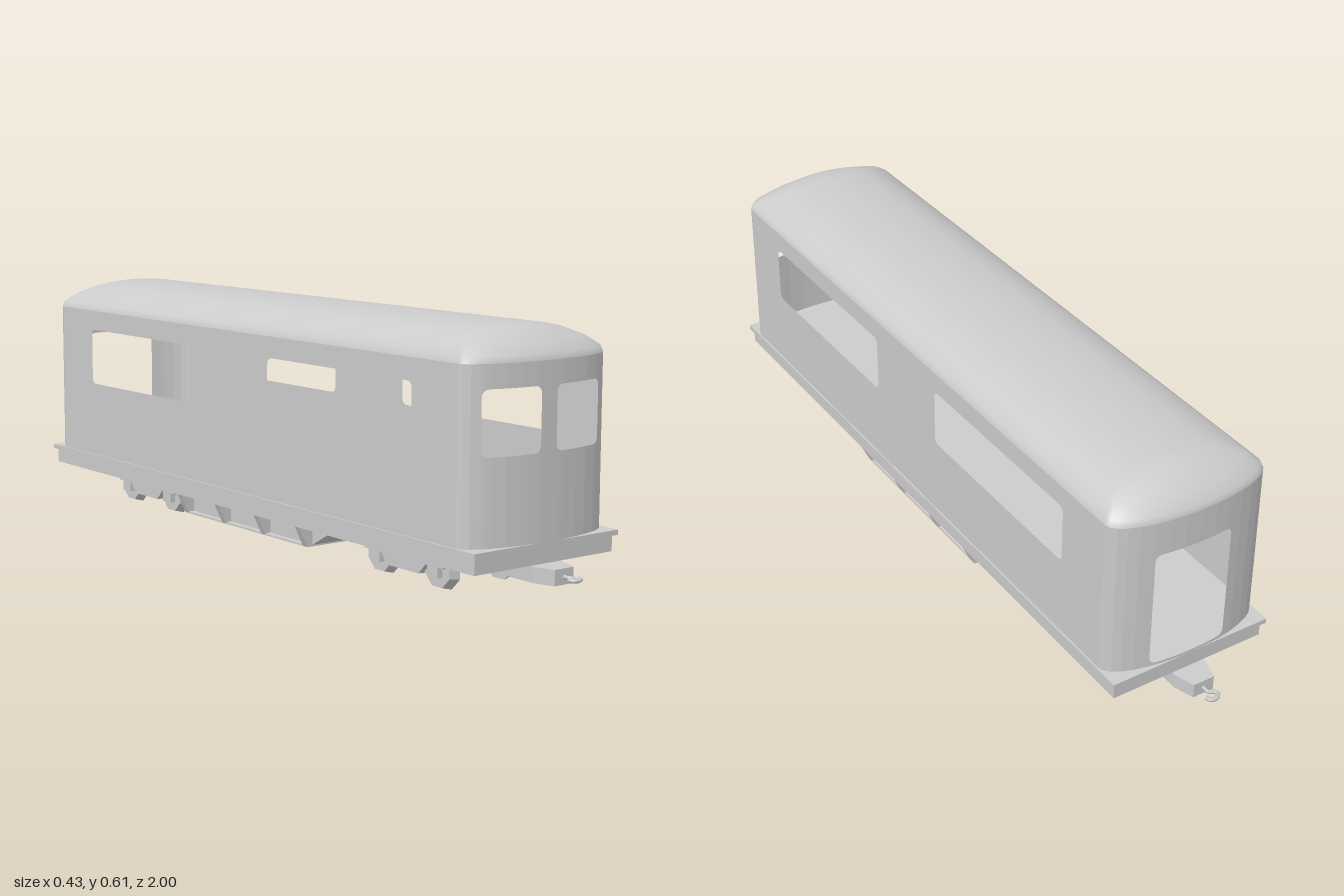
import * as THREE from 'three';

const mat = new THREE.MeshStandardMaterial({ color: 0xcccccc });
const flat = new THREE.MeshStandardMaterial({ color: 0xcccccc, flatShading: true });
const thin = new THREE.MeshStandardMaterial({ color: 0xcccccc, side: THREE.DoubleSide });

const HW = 0.21, STRAIGHT = 0.835, BULGE = 0.065; // body half width, straight half length, end bulge
const FLOOR = 0.143, EAVES = 0.54;

function add(parent, name, geo, material = flat) {
  const m = new THREE.Mesh(geo, material);
  m.name = name;
  parent.add(m);
  return m;
}

function box(parent, name, x0, x1, y0, y1, z0, z1) {
  const m = add(parent, name, new THREE.BoxGeometry(x1 - x0, y1 - y0, z1 - z0));
  m.position.set((x0 + x1) / 2, (y0 + y1) / 2, (z0 + z1) / 2);
  return m;
}

// Prism from a (z, y) outline, spanning x0..x1
function prismX(parent, name, pts, x0, x1) {
  const shape = new THREE.Shape(pts.map(([z, y]) => new THREE.Vector2(-z, y)));
  const g = new THREE.ExtrudeGeometry(shape, { depth: x1 - x0, bevelEnabled: false });
  g.rotateY(Math.PI / 2).translate(x0, 0, 0);
  return add(parent, name, g);
}

const endZ = x => STRAIGHT + BULGE * Math.sqrt(Math.max(0, 1 - (x / HW) ** 2));

// Wall made of upright strips along a path, leaving round-cornered openings [from, to, low, high]
function wall(parent, name, stations, at, openings) {
  const r = 0.016, steps = [0, 0.08, 0.3, 0.6, 1];
  const us = [...stations];
  for (const [a, b] of openings) for (const s of steps) us.push(a + s * r, b - s * r);
  us.sort((a, b) => a - b);
  const pos = [];
  const quad = (u, v, a0, a1, b0, b1) => {
    const [ux, uz] = at(u), [vx, vz] = at(v);
    pos.push(ux, a0, uz, vx, b0, vz, vx, b1, vz, ux, a0, uz, vx, b1, vz, ux, a1, uz);
  };
  const cut = (o, u) => {
    const t = Math.min(1, Math.max(0, Math.min(u - o[0], o[1] - u) / r));
    return r * (1 - Math.sqrt(1 - (1 - t) ** 2));
  };
  for (let i = 0; i + 1 < us.length; i++) {
    const u = us[i], v = us[i + 1], mid = (u + v) / 2;
    if (v - u < 1e-6) continue;
    const o = openings.find(p => mid > p[0] && mid < p[1]);
    if (!o) { quad(u, v, FLOOR, EAVES, FLOOR, EAVES); continue; }
    const cu = cut(o, u), cv = cut(o, v);
    quad(u, v, FLOOR, o[2] + cu, FLOOR, o[2] + cv);
    quad(u, v, o[3] - cu, EAVES, o[3] - cv, EAVES);
  }
  const g = new THREE.BufferGeometry();
  g.setAttribute('position', new THREE.Float32BufferAttribute(pos, 3));
  g.computeVertexNormals();
  add(parent, name, g, thin);
}

// Domed roof: rings following the body outline, drawn in and raised step by step
function roofGeometry(arc) {
  const rings = [[0, 0, EAVES], [0.005, 0.004, 0.555], [0.03, 0.03, 0.577], [0.075, 0.06, 0.597],
    [0.11, 0.078, 0.605], [0.145, 0.1, 0.61], [0.175, 0.115, 0.612], [HW, 0.13, 0.613]];
  const outline = [...arc.map(x => [x, 1]), ...[...arc].reverse().map(x => [x, -1])];
  const n = outline.length, pos = [], idx = [];
  rings.forEach(([dx, dz, y], k) => {
    outline.forEach(([x, s], i) => {
      pos.push(x * (1 - dx / HW), y, s * (endZ(x) - dz));
      if (k === 0) return;
      const j = (i + 1) % n, a = (k - 1) * n, b = k * n;
      idx.push(a + i, a + j, b + j, a + i, b + j, b + i);
    });
  });
  const g = new THREE.BufferGeometry();
  g.setAttribute('position', new THREE.Float32BufferAttribute(pos, 3));
  g.setIndex(idx);
  g.computeVertexNormals();
  return g;
}

function makeBody() {
  const body = new THREE.Group();
  body.name = 'body';
  const arc = [];
  for (let i = 0; i <= 16; i++) arc.push(HW * Math.sin((i / 16 - 0.5) * Math.PI));
  wall(body, 'frontWall', arc, x => [x, endZ(x)],
    [[-0.174, -0.027, 0.34, 0.486], [0.019, 0.166, 0.34, 0.486]]);
  // the rear path runs the other way, so x is negated
  wall(body, 'rearWall', arc, u => [-u, -endZ(u)], [[-0.112, 0.09, 0.15, 0.453]]);
  for (const s of [1, -1]) {
    wall(body, 'sideWall', [-STRAIGHT, STRAIGHT], u => [s * HW, -s * u],
      s > 0 ? [[-0.685, -0.145, 0.34, 0.488], [0.133, 0.68, 0.34, 0.488]]
        : [[-0.68, -0.133, 0.34, 0.488], [0.145, 0.685, 0.34, 0.488]]);
  }
  add(body, 'roof', roofGeometry(arc), thin);
  return body;
}

// Four-wheel truck, centred on z = 0
function makeBogie() {
  const bogie = new THREE.Group();
  bogie.name = 'bogie';
  box(bogie, 'bolster', -0.105, 0.105, 0.031, 0.093, -0.05, 0.05);
  for (const s of [1, -1]) {
    const x0 = s > 0 ? 0.105 : -0.121;
    prismX(bogie, 'sideFrame', [[-0.15, 0.08], [-0.14, 0.06], [-0.08, 0.06], [-0.055, 0.034],
      [0.055, 0.034], [0.08, 0.06], [0.14, 0.06], [0.15, 0.08]], x0, x0 + 0.016);
    for (const z of [-0.103, 0.103]) {
      const g = new THREE.CylinderGeometry(0.045, 0.052, 0.026, 8);
      g.rotateY(Math.PI / 8).rotateZ(-s * Math.PI / 2);
      add(bogie, 'wheel', g).position.set(s * 0.093, 0.052, z);
      box(bogie, 'axleBox', x0, x0 + 0.016, 0.034, 0.07, z - 0.018, z + 0.018);
    }
  }
  for (const z of [-0.103, 0.103]) {
    const axle = add(bogie, 'axle', new THREE.CylinderGeometry(0.01, 0.01, 0.17, 8));
    axle.rotation.z = Math.PI / 2;
    axle.position.set(0, 0.052, z);
  }
  return bogie;
}

// Draft sill, tapered nose and hook at the +z end
function makeCoupler() {
  const c = new THREE.Group();
  c.name = 'coupler';
  const plan = [[-0.044, 0.33], [0.044, 0.33], [0.044, 0.9], [0.028, 0.95], [-0.028, 0.95], [-0.044, 0.9]];
  const g = new THREE.ExtrudeGeometry(new THREE.Shape(plan.map(p => new THREE.Vector2(p[0], -p[1])).reverse()),
    { depth: 0.036, bevelEnabled: false });
  g.rotateX(-Math.PI / 2).translate(0, 0.057, 0);
  add(c, 'draftSill', g);
  const path = new THREE.CatmullRomCurve3([[0, 0.945], [0, 0.968], [0.012, 0.976], [0.012, 0.988],
    [0, 0.995], [-0.013, 0.991], [-0.016, 0.98]].map(([x, z]) => new THREE.Vector3(x, 0.074, z)));
  add(c, 'hook', new THREE.TubeGeometry(path, 24, 0.005, 6), mat);
  return c;
}

function makeUnderbox() {
  const u = new THREE.Group();
  u.name = 'underbox';
  prismX(u, 'tank', [[-0.35, 0.093], [-0.26, 0.043], [0.26, 0.043], [0.35, 0.093]], -0.165, 0.165);
  box(u, 'bottomPlate', -0.18, 0.18, 0.042, 0.047, -0.265, 0.265);
  // triangular gussets along both sides
  for (const s of [1, -1]) for (const z of [-0.257, -0.086, 0.086, 0.257]) {
    const pts = [[0.15, 0.093], [0.15, 0.043], [0.18, 0.043], [0.204, 0.093]];
    const g = new THREE.ExtrudeGeometry(new THREE.Shape(pts.map(p => new THREE.Vector2(s * p[0], p[1]))),
      { depth: 0.018, bevelEnabled: false });
    add(u, 'gusset', g).position.z = z - 0.009;
  }
  return u;
}

export function createModel() {
  const model = new THREE.Group();
  model.name = 'railcar';
  model.add(makeBody());
  box(model, 'floor', -0.214, 0.214, 0.131, FLOOR, -0.9, 0.9);
  box(model, 'underframe', -0.205, 0.205, 0.093, 0.131, -0.89, 0.89);
  model.add(makeUnderbox());
  for (const s of [1, -1]) {
    const bogie = makeBogie();
    bogie.position.z = s * 0.552;
    const coupler = makeCoupler();
    coupler.rotation.y = s > 0 ? 0 : Math.PI;
    model.add(bogie, coupler);
  }
  return model;
}
